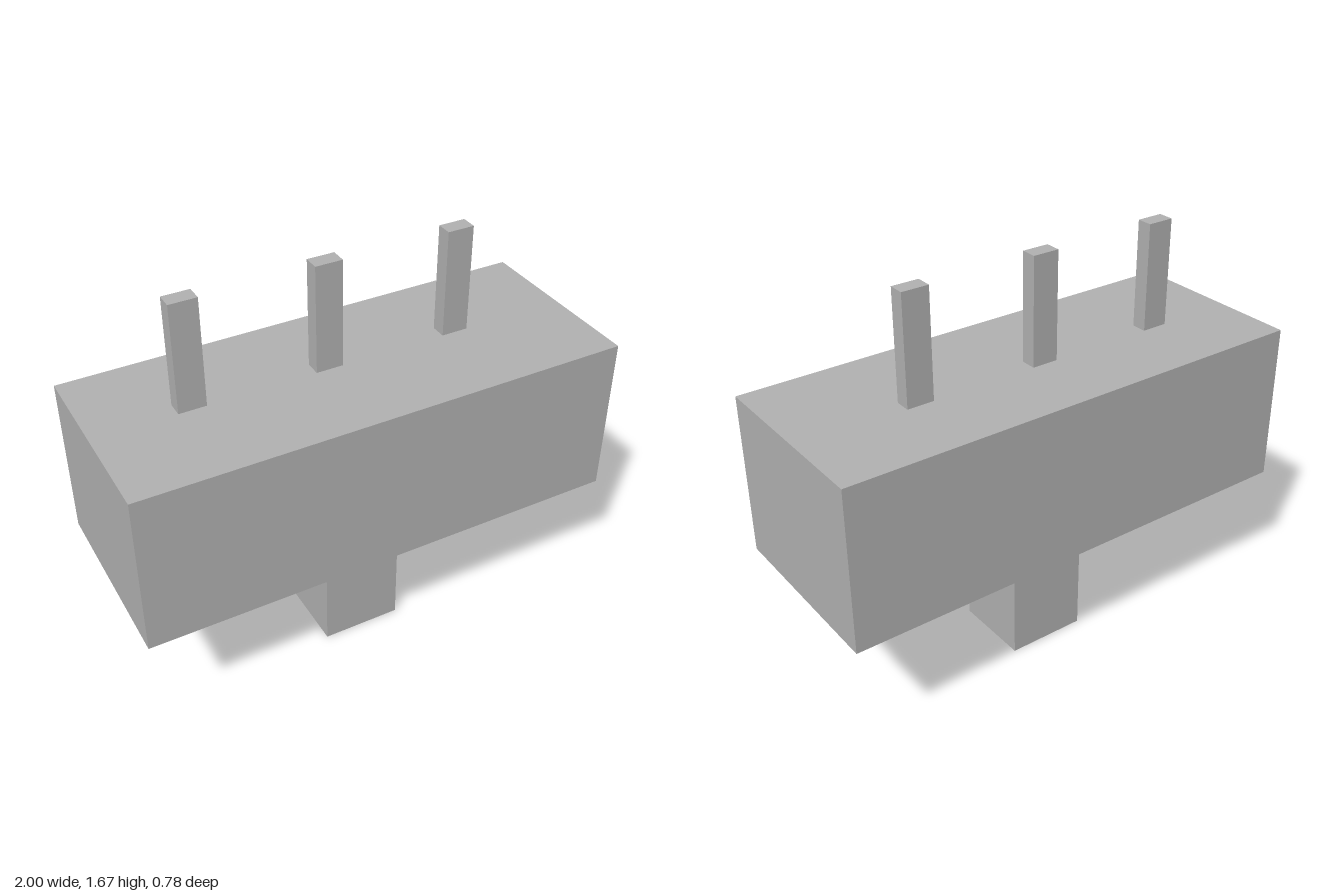
import * as THREE from 'three';

export function createModel() {
  const model = new THREE.Group();
  const grey = new THREE.MeshStandardMaterial({ color: 0xb2b2b2 });
  grey.name = 'grey';

  // Box placed by its base height
  const addBox = (name, w, h, d, x, base, z) => {
    const mesh = new THREE.Mesh(new THREE.BoxGeometry(w, h, d), grey);
    mesh.name = name;
    mesh.position.set(x, base + h / 2, z);
    model.add(mesh);
  };

  // Square stem under the wide block
  addBox('stem', 0.333, 0.556, 0.333, 0, 0, 0);
  addBox('body', 2, 0.667, 0.778, 0, 0.556, 0);

  // Three upright pins, set slightly off centre
  ['rightPin', 'middlePin', 'leftPin'].forEach((name, i) => {
    addBox(name, 0.111, 0.445, 0.065, -0.611 + i * 0.556, 1.223, -0.034);
  });

  return model;
}
